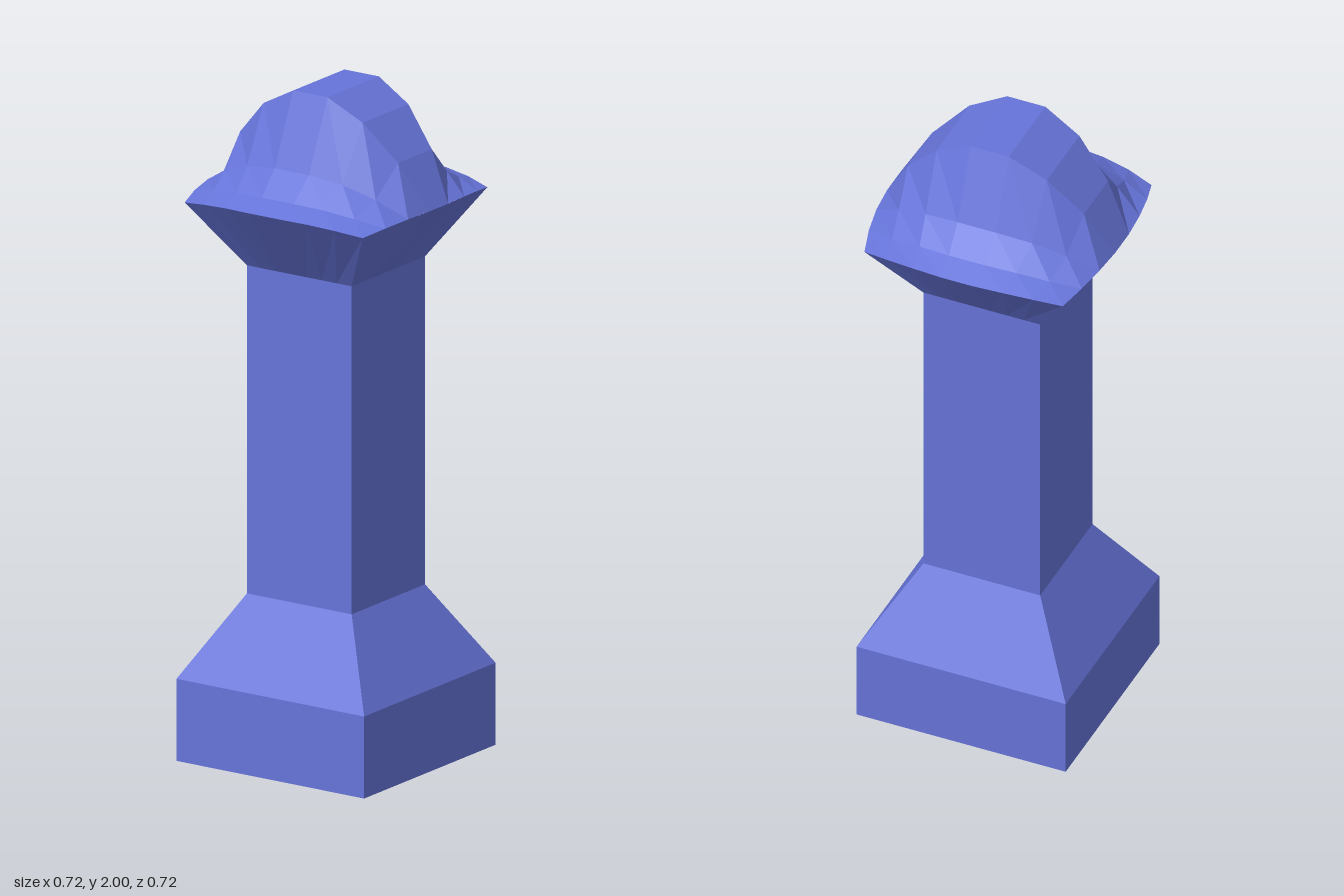
import * as THREE from 'three';

// One quadrant of the cap: rows run from the ridge (row 0) to the front rim,
// columns from the middle to the side rim. Each point is [x, y, z].
const QUADRANT = [
  [[0.06, 2.0, 0.128], [0.173, 1.94, 0.114], [0.276, 1.83, 0.084], [0.358, 1.69, 0.048]],
  [[0.06, 1.79, 0.22], [0.167, 1.775, 0.205], [0.263, 1.74, 0.178], [0.35, 1.688, 0.14]],
  [[0.056, 1.72, 0.29], [0.152, 1.715, 0.28], [0.247, 1.70, 0.26], [0.334, 1.68, 0.229]],
  [[0.049, 1.69, 0.358], [0.14, 1.688, 0.35], [0.229, 1.68, 0.334], [0.311, 1.667, 0.311]],
];
const SHAFT = 0.183, BASE = 0.328, NECK_Y = 1.47;

// Mirrors the quadrant into a full 8 x 8 grid
function capPoint(row, col) {
  const r = row < 4 ? 3 - row : row - 4;
  const c = col < 4 ? 3 - col : col - 4;
  const [x, y, z] = QUADRANT[r][c];
  return [col < 4 ? -x : x, y, row < 4 ? -z : z];
}

function quadGeometry(quads) {
  const positions = quads.flatMap(([a, b, c, d]) => [a, b, c, a, c, d].flat());
  const geometry = new THREE.BufferGeometry();
  geometry.setAttribute('position', new THREE.Float32BufferAttribute(positions, 3));
  geometry.computeVertexNormals();
  return geometry;
}

// Square column section with independent top and bottom half-widths
function squareSection(top, bottom, y0, y1) {
  const s = Math.SQRT2;
  const open = y0 > 0;
  const geometry = new THREE.CylinderGeometry(top * s, bottom * s, y1 - y0, 4, 1, open, Math.PI / 4);
  return geometry.translate(0, (y0 + y1) / 2, 0);
}

export function createModel() {
  const model = new THREE.Group();
  model.name = 'post';
  const material = new THREE.MeshStandardMaterial({ color: 0x6674d9, flatShading: true });
  const add = (name, geometry) => {
    const mesh = new THREE.Mesh(geometry, material);
    mesh.name = name;
    model.add(mesh);
  };

  // Plinth, sloping shoulder and shaft
  add('plinth', squareSection(BASE, BASE, 0, 0.245));
  add('shoulder', squareSection(SHAFT, BASE, 0.245, 0.49));
  add('shaft', squareSection(SHAFT, SHAFT, 0.49, NECK_Y));

  // Ridged cap
  const cap = [];
  for (let i = 0; i < 7; i++) {
    for (let j = 0; j < 7; j++) {
      cap.push([capPoint(i, j), capPoint(i + 1, j), capPoint(i + 1, j + 1), capPoint(i, j + 1)]);
    }
  }
  add('cap', quadGeometry(cap));

  // Flared underside: the front face turned around all four sides
  const flare = [];
  const neck = (j) => [SHAFT * (j / 3.5 - 1), NECK_Y, SHAFT];
  for (let side = 0; side < 4; side++) {
    const angle = side * Math.PI / 2;
    const c = Math.cos(angle), s = Math.sin(angle);
    const turn = ([x, y, z]) => [c * x + s * z, y, c * z - s * x];
    for (let j = 0; j < 7; j++) {
      flare.push([neck(j), neck(j + 1), capPoint(7, j + 1), capPoint(7, j)].map(turn));
    }
  }
  add('capUnderside', quadGeometry(flare));

  return model;
}
